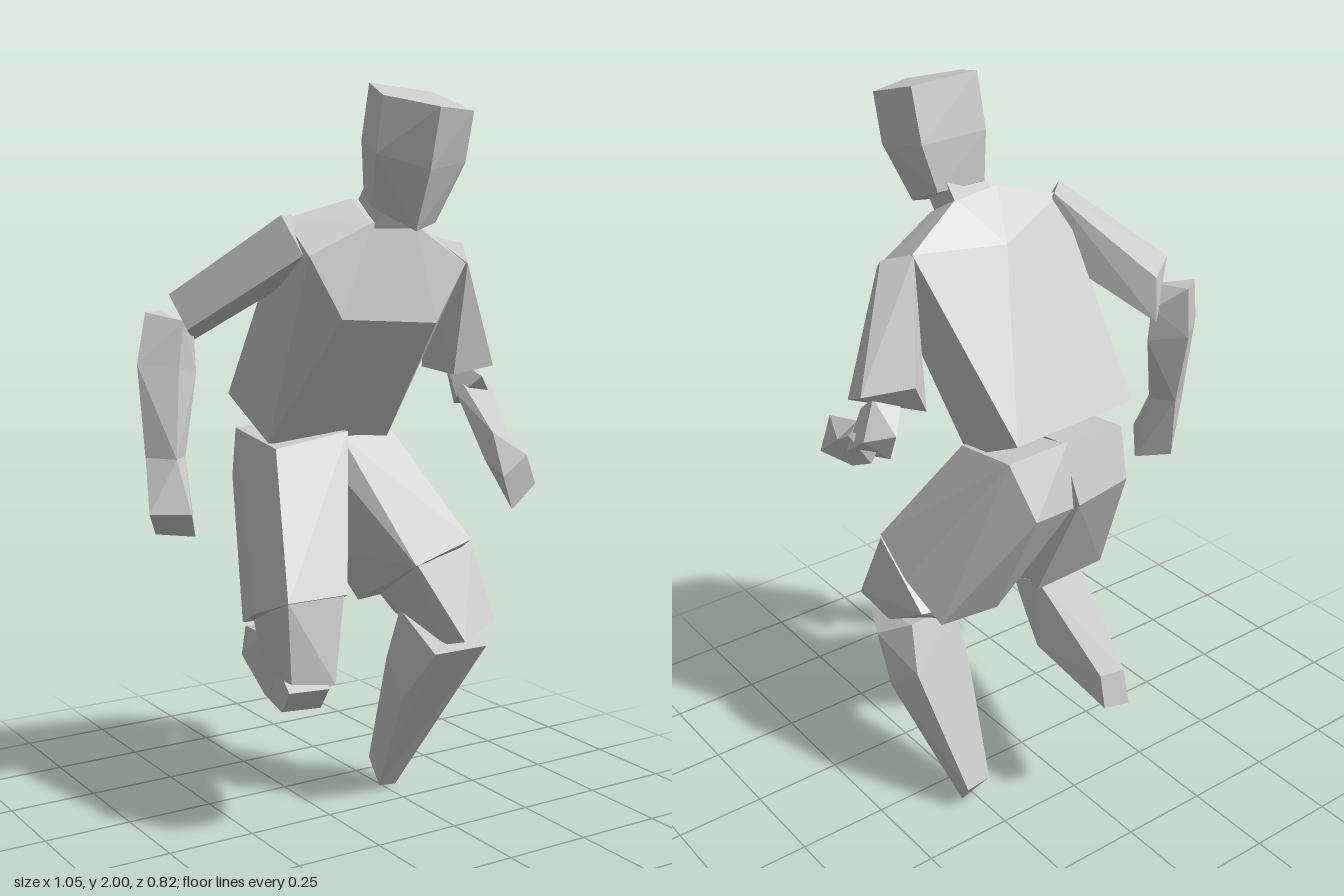
import * as THREE from 'three';
import { ConvexGeometry } from 'three/addons/geometries/ConvexGeometry.js';

const lightGrey = new THREE.MeshStandardMaterial({ color: 0xcccccc });

// Faceted block spanned by a few cross-section rings of [x, y, z] corners
function block(name, ...rings) {
  const points = rings.flat().map((p) => new THREE.Vector3(...p));
  const mesh = new THREE.Mesh(new ConvexGeometry(points), lightGrey);
  mesh.name = name;
  return mesh;
}

function part(name, ...meshes) {
  const g = new THREE.Group();
  g.name = name;
  g.add(...meshes);
  return g;
}

export function createModel() {
  const model = new THREE.Group();
  model.name = 'runningFigure';

  // Head: crown, brow, jaw
  const head = block('head',
    [[0.03, 2.0, 0.14], [0.2, 1.98, 0.18], [0.19, 1.925, 0.37], [0.06, 1.93, 0.41], [-0.035, 1.96, 0.3]],
    [[0.03, 1.86, 0.105], [0.2, 1.84, 0.14], [0.195, 1.8, 0.33], [0.06, 1.78, 0.37], [-0.04, 1.82, 0.28]],
    [[0.04, 1.73, 0.1], [0.17, 1.72, 0.12], [0.14, 1.65, 0.28], [0.06, 1.63, 0.31], [-0.015, 1.69, 0.22]]);
  const neck = block('neck',
    [[0.0, 1.62, 0.06], [0.12, 1.62, 0.06], [0.12, 1.6, 0.18], [0.0, 1.6, 0.18]],
    [[0.04, 1.77, 0.13], [0.15, 1.77, 0.13], [0.13, 1.7, 0.24], [0.02, 1.7, 0.24]]);

  // Torso: waist, chest, shoulders, collar
  const torso = block('torso',
    [[-0.18, 1.18, -0.24], [0.195, 1.16, -0.24], [0.19, 1.045, -0.02], [-0.18, 1.07, -0.02]],
    [[-0.1, 1.41, 0.22], [0.19, 1.39, 0.22]],
    [[-0.185, 1.57, 0.2], [0.305, 1.54, 0.19], [0.305, 1.61, 0.04], [-0.18, 1.66, 0.07]],
    [[0.0, 1.71, 0.1], [0.13, 1.7, 0.1], [0.0, 1.65, 0.2], [0.14, 1.64, 0.2], [0.06, 1.6, -0.02]]);
  model.add(head, neck, torso);

  // Right arm, swung back
  model.add(part('rightArm',
    block('rightSleeve',
      [[-0.15, 1.67, 0.055], [-0.225, 1.67, 0.13], [-0.185, 1.57, 0.17], [-0.13, 1.52, 0.08]],
      [[-0.325, 1.46, -0.157], [-0.44, 1.47, -0.07], [-0.41, 1.38, -0.03], [-0.32, 1.34, -0.17]]),
    block('rightElbow',
      [[-0.47, 1.42, -0.15], [-0.41, 1.42, -0.19], [-0.34, 1.36, -0.13], [-0.4, 1.4, -0.07]],
      [[-0.51, 1.29, -0.12], [-0.43, 1.27, -0.18], [-0.345, 1.26, -0.11], [-0.42, 1.28, -0.06]]),
    block('rightForearm',
      [[-0.51, 1.29, -0.12], [-0.43, 1.27, -0.18], [-0.345, 1.26, -0.11], [-0.42, 1.28, -0.06]],
      [[-0.505, 1.05, -0.09], [-0.45, 1.05, -0.12], [-0.405, 1.05, -0.06], [-0.45, 1.05, -0.02]]),
    block('rightHand',
      [[-0.505, 1.05, -0.09], [-0.45, 1.05, -0.12], [-0.405, 1.05, -0.06], [-0.45, 1.05, -0.02]],
      [[-0.53, 0.915, -0.02], [-0.44, 0.915, 0.04], [-0.405, 0.845, -0.01], [-0.49, 0.85, -0.07]])));

  // Left arm, bent forward
  model.add(part('leftArm',
    block('leftSleeve',
      [[0.3, 1.61, 0.04], [0.36, 1.59, 0.1], [0.32, 1.54, 0.18], [0.27, 1.5, 0.08]],
      [[0.4, 1.33, -0.1], [0.515, 1.31, -0.03], [0.48, 1.25, 0.09], [0.33, 1.235, 0.11], [0.35, 1.24, -0.07]]),
    block('leftElbow',
      [[0.4, 1.29, -0.04], [0.48, 1.3, -0.03], [0.45, 1.22, 0.08]],
      [[0.455, 1.21, -0.09], [0.525, 1.2, -0.05], [0.525, 1.14, 0.035], [0.45, 1.13, -0.05], [0.4, 1.16, 0.03]]),
    block('leftForearm',
      [[0.44, 1.24, -0.05], [0.525, 1.19, 0.02], [0.5, 1.13, -0.04], [0.4, 1.17, 0.03]],
      [[0.36, 1.09, 0.25], [0.43, 1.06, 0.24], [0.4, 0.98, 0.22], [0.34, 1.02, 0.24]]),
    block('leftHand',
      [[0.36, 1.09, 0.25], [0.43, 1.06, 0.24], [0.4, 0.98, 0.22], [0.34, 1.02, 0.24]],
      [[0.28, 1.0, 0.4], [0.36, 1.05, 0.395], [0.41, 0.965, 0.37], [0.33, 0.905, 0.375]])));

  // Left leg, planted in front
  model.add(part('leftLeg',
    block('leftShorts',
      [[0.0, 1.1, -0.2], [0.2, 1.1, -0.21], [0.21, 1.08, -0.02], [0.04, 1.07, 0.0]],
      [[0.02, 0.93, -0.25], [0.165, 0.95, -0.28], [0.04, 0.95, 0.02]],
      [[0.17, 0.73, 0.17], [0.36, 0.78, 0.16], [0.375, 0.71, 0.02], [0.33, 0.6, -0.08], [0.145, 0.585, -0.08], [0.05, 0.74, -0.1]]),
    block('leftKnee',
      [[0.175, 0.73, 0.17], [0.36, 0.77, 0.16], [0.36, 0.62, -0.03], [0.2, 0.6, -0.05]],
      [[0.27, 0.525, 0.26], [0.385, 0.565, 0.24], [0.37, 0.53, 0.12], [0.25, 0.5, 0.18], [0.23, 0.55, -0.02]]),
    block('leftShin',
      [[0.2, 0.49, 0.22], [0.35, 0.5, 0.25], [0.41, 0.5, 0.12], [0.36, 0.56, 0.02], [0.22, 0.57, 0.02]],
      [[0.41, 0.36, 0.06], [0.38, 0.43, -0.03], [0.21, 0.42, -0.03], [0.19, 0.33, 0.08]],
      [[0.22, 0.015, -0.08], [0.29, 0.0, -0.1], [0.31, 0.08, -0.16], [0.23, 0.08, -0.15]])));

  // Right leg, folded behind
  model.add(part('rightLeg',
    block('rightShorts',
      [[-0.18, 1.09, -0.2], [0.02, 1.1, -0.2], [0.045, 1.09, 0.02], [-0.18, 1.06, 0.02]],
      [[-0.17, 0.95, -0.24], [0.0, 0.93, -0.25], [0.03, 0.93, 0.0]],
      [[-0.25, 0.69, 0.2], [-0.07, 0.69, 0.2], [-0.27, 0.635, 0.06], [-0.24, 0.58, -0.06], [-0.01, 0.57, -0.06], [0.0, 0.64, 0.04]]),
    block('rightKnee',
      [[-0.245, 0.69, 0.19], [-0.075, 0.69, 0.19], [-0.24, 0.6, 0.0], [-0.05, 0.58, 0.0]],
      [[-0.235, 0.47, 0.19], [-0.12, 0.46, 0.22], [-0.22, 0.46, 0.03], [-0.09, 0.46, 0.03]]),
    block('rightShin',
      [[-0.23, 0.44, 0.17], [-0.12, 0.44, 0.19], [-0.225, 0.375, 0.12], [-0.11, 0.37, 0.13]],
      [[-0.2, 0.55, -0.02], [-0.05, 0.56, -0.01], [-0.18, 0.37, -0.05], [-0.02, 0.37, -0.05]],
      [[-0.05, 0.465, -0.39], [0.015, 0.46, -0.37], [-0.05, 0.37, -0.415], [0.018, 0.37, -0.395]])));

  return model;
}
